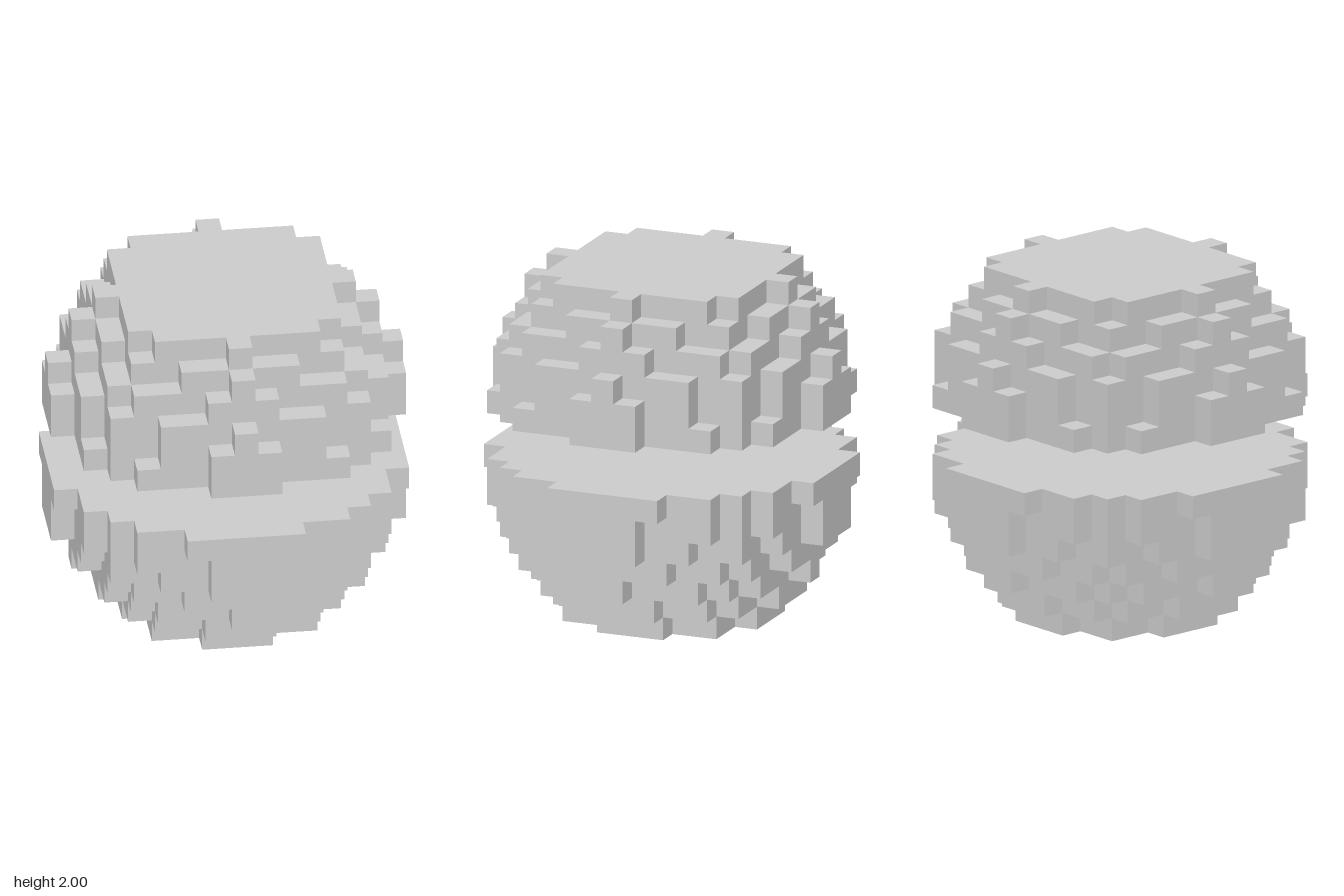
import * as THREE from 'three';

const CELL = 2 / 15;

// Each layer lists, for cell columns 0, 1, 2... out from the centre,
// how many cells the layer reaches. Layers run from bottom to top.
const LOWER = [
  [4, 4, 3, 3, 1],
  [5, 5, 4, 4, 3, 1],
  [6, 5, 5, 5, 4, 3, 0],
  [6, 6, 6, 5, 5, 4, 2],
  [7, 7, 6, 6, 5, 5, 3, 1],
  [7, 7, 6, 6, 6, 5, 4, 1],
  [7, 7, 7, 6, 6, 5, 4, 2],
];
const UPPER = [
  [7, 7, 6, 6, 6, 5, 4, 1],
  [7, 7, 6, 6, 5, 5, 3, 1],
  [7, 6, 6, 6, 5, 5, 3, 0],
  [6, 6, 5, 5, 5, 4, 1],
  [6, 5, 5, 4, 4, 2, 0],
  [5, 4, 4, 4, 3, 0],
];

// Stepped outline: one quarter staircase turned four times
function layerShape(reach) {
  const quarter = [];
  reach.forEach((r, i) => {
    const next = reach[i + 1];
    if (next === r) return;
    quarter.push([i + 0.5, r + 0.5]);
    if (next !== undefined) quarter.push([i + 0.5, next + 0.5]);
  });
  const points = [];
  for (let turn = 0; turn < 4; turn++) {
    for (const p of quarter) {
      let [x, y] = p;
      for (let k = 0; k < turn; k++) [x, y] = [y, -x];
      points.push(new THREE.Vector2(x * CELL, y * CELL));
    }
  }
  return new THREE.Shape(points);
}

// Stack of one-cell-high slabs
function buildHalf(name, layers, firstRow, material) {
  const half = new THREE.Group();
  half.name = name;
  layers.forEach((reach, i) => {
    const geometry = new THREE.ExtrudeGeometry(layerShape(reach), { depth: CELL, bevelEnabled: false });
    geometry.rotateX(-Math.PI / 2);
    const slab = new THREE.Mesh(geometry, material);
    slab.name = `${name}Layer${i + 1}`;
    slab.position.y = (firstRow + i) * CELL;
    half.add(slab);
  });
  return half;
}

export function createModel() {
  const grey = new THREE.MeshStandardMaterial({ color: 0xcccccc });
  grey.name = 'light grey';

  const model = new THREE.Group();
  model.name = 'splitBlockSphere';
  // Two rows are left open between the halves
  model.add(buildHalf('lowerHalf', LOWER, 0, grey));
  model.add(buildHalf('upperHalf', UPPER, 9, grey));
  return model;
}
